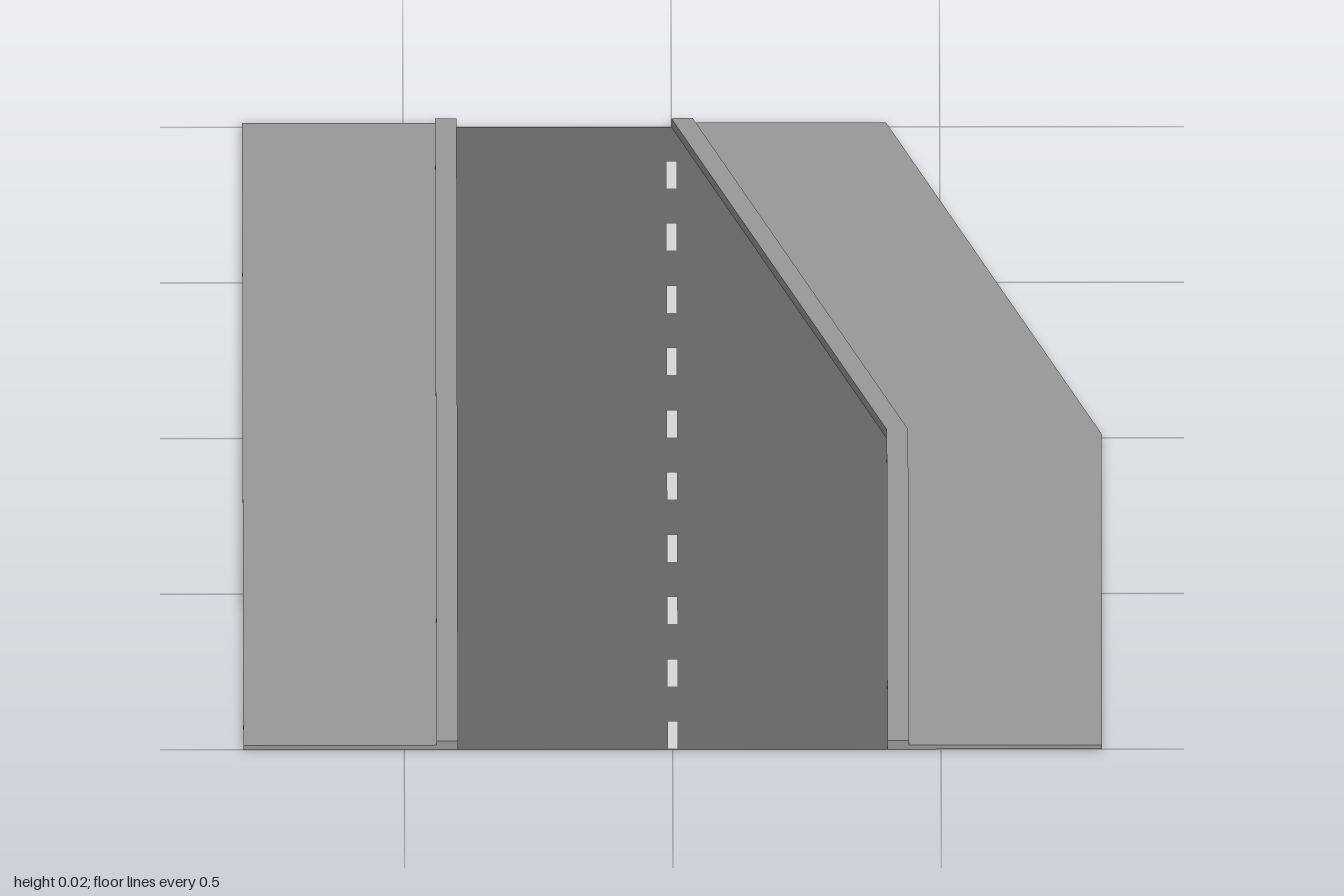
import * as THREE from 'three';

const mat = (name, color) => {
  const m = new THREE.MeshStandardMaterial({ color, side: THREE.DoubleSide });
  m.name = name;
  return m;
};

// Cross-section of kerb and pavement: [distance from road edge, height]
const KERB = 0.04, WIDTH = 0.4, KERB_TOP = 0.02, WALK_TOP = 0.01;
const PROFILE = [
  [0, 0], [0, KERB_TOP], [KERB, KERB_TOP],
  [KERB, WALK_TOP], [WIDTH, WALK_TOP], [WIDTH, 0],
];

// Open-bottomed pavement swept along [road edge x, z] stations, front to back
function pavement(stations, side) {
  const pos = [];
  const quad = (...q) => {
    if (side < 0) q.reverse();
    for (const i of [0, 1, 2, 0, 2, 3]) pos.push(...q[i]);
  };
  const at = ([x, z], [d, y]) => [side * (x + d), y, z];

  for (let s = 0; s < stations.length - 1; s++) {
    for (let i = 0; i < PROFILE.length - 1; i++) {
      quad(
        at(stations[s], PROFILE[i]), at(stations[s], PROFILE[i + 1]),
        at(stations[s + 1], PROFILE[i + 1]), at(stations[s + 1], PROFILE[i]),
      );
    }
  }

  // End caps: one rectangle for the kerb, one for the pavement
  for (const [d0, d1, h] of [[0, KERB, KERB_TOP], [KERB, WIDTH, WALK_TOP]]) {
    const rect = [[d0, 0], [d1, 0], [d1, h], [d0, h]];
    quad(...rect.map((p) => at(stations[0], p)));
    quad(...rect.map((p) => at(stations[stations.length - 1], p)).reverse());
  }

  const geo = new THREE.BufferGeometry();
  geo.setAttribute('position', new THREE.Float32BufferAttribute(pos, 3));
  geo.computeVertexNormals();
  return geo;
}

export function createModel() {
  const group = new THREE.Group();
  group.name = 'narrowingRoad';
  const asphalt = mat('asphalt', 0x666666);
  const concrete = mat('concrete', 0x999999);
  const paint = mat('linePaint', 0xd8d8d8);

  const add = (name, geometry, material) => {
    const mesh = new THREE.Mesh(geometry, material);
    mesh.name = name;
    group.add(mesh);
    return mesh;
  };

  // Road surface, narrowing on its left towards the back (shape y = -z)
  const outline = [[-0.4, -1], [0.4, -1], [0.4, 0], [0, 1], [-0.4, 1]];
  const shape = new THREE.Shape(outline.map(([x, y]) => new THREE.Vector2(x, y)));
  add('roadSurface', new THREE.ShapeGeometry(shape).rotateX(-Math.PI / 2), asphalt);

  // Kerbs with pavements
  add('leftPavement', pavement([[0.4, 1], [0.4, 0], [0, -1]], 1), concrete);
  add('rightPavement', pavement([[0.4, 1], [0.4, -1]], -1), concrete);

  // Dashed centre line
  const dash = new THREE.PlaneGeometry(0.02, 0.088).rotateX(-Math.PI / 2);
  for (let i = 0; i < 10; i++) {
    add('lineDash', dash, paint).position.set(0, 0.002, -0.844 + i * 0.2);
  }
  return group;
}
